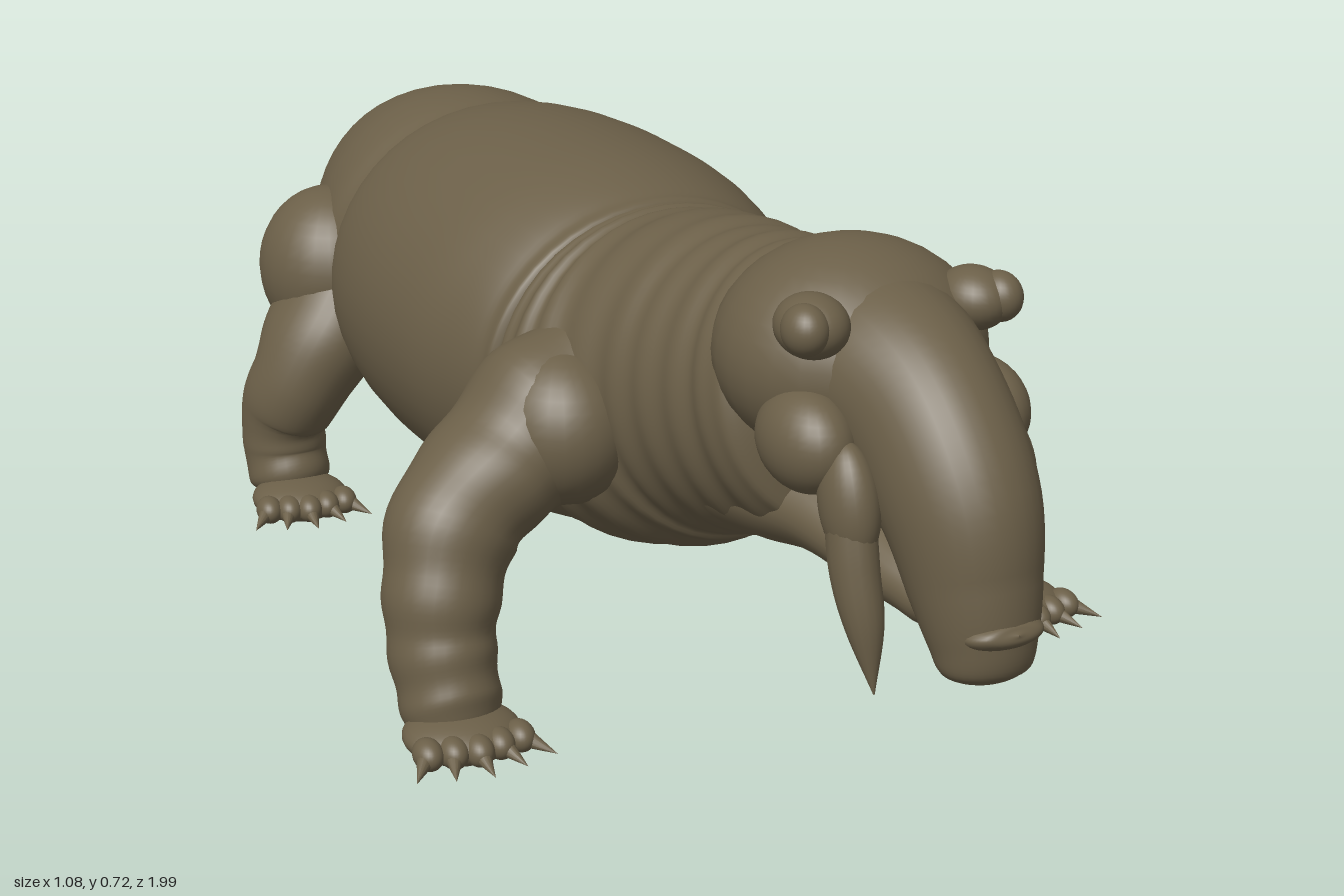
import * as THREE from 'three';

const hide = new THREE.MeshStandardMaterial({ color: 0x6b5f48 });
hide.name = 'brown hide';
const V = (x, y, z) => new THREE.Vector3(x, y, z);

function add(parent, name, geometry) {
  const mesh = new THREE.Mesh(geometry, hide);
  mesh.name = name;
  parent.add(mesh);
  return mesh;
}

// Smooth closed skin over stations [x, y, z, radius along ref, other radius]; ripple adds wrinkles
function skin(stations, ref, { ripple = 0, folds = 0, steps = 8, sides = 32 } = {}) {
  const path = new THREE.CatmullRomCurve3(stations.map(s => V(s[0], s[1], s[2])), false, 'catmullrom', 0.5);
  const size = new THREE.CatmullRomCurve3(stations.map(s => V(s[3], s[4], 0)), false, 'catmullrom', 0.5);
  const rings = (stations.length - 1) * steps;
  const pos = [], index = [];
  for (let i = 0; i <= rings; i++) {
    const t = i / rings, c = path.getPoint(t), r = size.getPoint(t);
    const dir = path.getTangent(t);
    const u = ref.clone().addScaledVector(dir, -ref.dot(dir)).normalize();
    const v = dir.clone().cross(u);
    const k = 1 + ripple * Math.sin(t * folds * Math.PI * 2);
    for (let j = 0; j < sides; j++) {
      const a = j / sides * Math.PI * 2;
      const p = c.clone()
        .addScaledVector(u, Math.cos(a) * Math.max(r.x * k, 0.0005))
        .addScaledVector(v, Math.sin(a) * Math.max(r.y * k, 0.0005));
      pos.push(p.x, p.y, p.z);
      if (i < rings) {
        const n = (j + 1) % sides, A = i * sides;
        index.push(A + j, A + n, A + sides + j, A + n, A + sides + n, A + sides + j);
      }
    }
  }
  const g = new THREE.BufferGeometry();
  g.setAttribute('position', new THREE.Float32BufferAttribute(pos, 3));
  g.setIndex(index);
  g.computeVertexNormals();
  return g;
}

// Skin along the middle plane, stations [z, y, half width, half height]
const middle = (rows, options) => skin(rows.map(([z, y, w, h]) => [0, y, z, w, h]), V(1, 0, 0), options);

function ball(parent, name, x, y, z, rx, ry, rz) {
  const m = add(parent, name, new THREE.SphereGeometry(1, 28, 20));
  m.position.set(x, y, z);
  m.scale.set(rx, ry, rz);
  return m;
}

// Flat paw with five toes and fanned claws
function paw(parent, name, x, z, width, turn) {
  const g = new THREE.Group();
  g.name = name;
  g.position.set(x, 0, z);
  g.rotation.y = turn;
  parent.add(g);
  ball(g, 'pawPad', 0, 0.032, 0, width, 0.032, 0.075);
  for (let i = -2; i <= 2; i++) {
    const a = i * 0.3, tx = i * width * 0.4, tz = 0.06 - Math.abs(i) * 0.008;
    ball(g, 'toe', tx, 0.034, tz, 0.02, 0.021, 0.028);
    const claw = add(g, 'claw', new THREE.ConeGeometry(0.013, 0.05, 12));
    claw.rotation.set(Math.PI / 2 + 0.2, 0, -a, 'YXZ');
    claw.rotation.set(Math.PI / 2 + 0.2, a, 0, 'YXZ');
    claw.position.set(tx + Math.sin(a) * 0.035, 0.028, tz + Math.cos(a) * 0.035);
  }
}

export function createModel() {
  const model = new THREE.Group();
  model.name = 'tuskedBeast';

  // Body: wrinkled neck and chest, barrel trunk, rump and tail
  add(model, 'neckAndChest', middle([
    [0.02, 0.385, 0.001, 0.001], [0.05, 0.385, 0.22, 0.2], [0.12, 0.385, 0.26, 0.236], [0.2, 0.4, 0.25, 0.235],
    [0.3, 0.437, 0.21, 0.222], [0.4, 0.46, 0.188, 0.205], [0.5, 0.485, 0.17, 0.195],
    [0.58, 0.51, 0.15, 0.16], [0.64, 0.52, 0.001, 0.001]], { ripple: 0.012, folds: 13, steps: 12, sides: 48 }));
  add(model, 'trunk', middle([
    [0.13, 0.385, 0.001, 0.001], [0.11, 0.385, 0.24, 0.215], [0.07, 0.385, 0.27, 0.247], [0, 0.385, 0.292, 0.268],
    [-0.1, 0.386, 0.31, 0.279], [-0.25, 0.386, 0.312, 0.281], [-0.38, 0.383, 0.298, 0.272],
    [-0.47, 0.377, 0.27, 0.25], [-0.52, 0.375, 0.22, 0.2], [-0.54, 0.375, 0.001, 0.001]], { sides: 48 }));
  add(model, 'rump', middle([
    [-0.4, 0.38, 0.001, 0.001], [-0.43, 0.38, 0.22, 0.215], [-0.51, 0.385, 0.265, 0.245], [-0.6, 0.39, 0.25, 0.246],
    [-0.7, 0.388, 0.21, 0.217], [-0.77, 0.375, 0.165, 0.165], [-0.815, 0.365, 0.1, 0.1],
    [-0.83, 0.36, 0.001, 0.001]], { sides: 48 }));
  add(model, 'tail', middle([
    [-0.72, 0.4, 0.11, 0.12], [-0.82, 0.375, 0.09, 0.088], [-0.9, 0.332, 0.056, 0.06],
    [-0.965, 0.295, 0.028, 0.027], [-1, 0.277, 0.001, 0.001]]));

  // Head: skull, drooping snout and slim lower jaw
  const head = new THREE.Group();
  head.name = 'head';
  model.add(head);
  ball(head, 'skull', 0, 0.575, 0.61, 0.175, 0.142, 0.17);
  add(head, 'snout', middle([
    [0.55, 0.58, 0.1, 0.11], [0.68, 0.575, 0.12, 0.118], [0.78, 0.54, 0.102, 0.115], [0.86, 0.46, 0.094, 0.108],
    [0.9, 0.37, 0.08, 0.086], [0.922, 0.305, 0.066, 0.066], [0.928, 0.268, 0.052, 0.045],
    [0.93, 0.252, 0.001, 0.001]]));
  add(head, 'nosePad', middle([
    [0.9, 0.335, 0.03, 0.02], [0.95, 0.33, 0.054, 0.022], [0.985, 0.337, 0.04, 0.014], [0.994, 0.34, 0.001, 0.001]]));
  add(head, 'lowerJaw', middle([
    [0.4, 0.365, 0.15, 0.1], [0.52, 0.365, 0.125, 0.085], [0.62, 0.362, 0.095, 0.064], [0.72, 0.345, 0.075, 0.05],
    [0.8, 0.333, 0.06, 0.043], [0.85, 0.322, 0.045, 0.034], [0.87, 0.318, 0.001, 0.001]]));

  // Paired features, built on the left and mirrored
  for (const side of [1, -1]) {
    const half = new THREE.Group();
    half.name = side > 0 ? 'leftSide' : 'rightSide';
    half.scale.x = side;
    model.add(half);

    ball(half, 'brow', 0.115, 0.65, 0.705, 0.045, 0.04, 0.052);
    ball(half, 'eye', 0.138, 0.655, 0.728, 0.028, 0.032, 0.034);
    ball(half, 'cheek', 0.125, 0.51, 0.715, 0.055, 0.065, 0.08);
    ball(half, 'tuskSheath', 0.112, 0.455, 0.795, 0.035, 0.075, 0.045).rotation.x = -0.25;
    add(half, 'tusk', skin([
      [0.112, 0.46, 0.795, 0.03, 0.035], [0.115, 0.38, 0.815, 0.03, 0.035], [0.112, 0.31, 0.838, 0.024, 0.025],
      [0.11, 0.23, 0.86, 0.001, 0.001]], V(1, 0, 0), { sides: 16 }));

    // Sprawling front leg with skin folds
    add(half, 'frontLeg', skin([
      [0.12, 0.4, 0.2, 0.1, 0.12], [0.22, 0.375, 0.205, 0.115, 0.125], [0.31, 0.33, 0.22, 0.108, 0.09],
      [0.385, 0.275, 0.25, 0.092, 0.09], [0.418, 0.2, 0.28, 0.084, 0.08], [0.43, 0.13, 0.3, 0.08, 0.072],
      [0.432, 0.07, 0.325, 0.075, 0.068], [0.432, 0.03, 0.345, 0.06, 0.06], [0.432, 0.012, 0.35, 0.001, 0.001]],
      V(0, 0, 1), { ripple: 0.025, folds: 8 }));
    ball(half, 'shoulder', 0.22, 0.38, 0.23, 0.1, 0.11, 0.12);
    paw(half, 'frontPaw', 0.436, 0.375, 0.08, 0.05);

    // Bent hind leg
    ball(half, 'thigh', 0.225, 0.37, -0.585, 0.115, 0.13, 0.13);
    add(half, 'hindLeg', skin([
      [0.18, 0.38, -0.58, 0.11, 0.11], [0.25, 0.3, -0.54, 0.115, 0.09], [0.305, 0.22, -0.525, 0.092, 0.08],
      [0.33, 0.15, -0.55, 0.078, 0.068], [0.332, 0.09, -0.55, 0.07, 0.064], [0.332, 0.04, -0.53, 0.065, 0.06],
      [0.332, 0.012, -0.52, 0.001, 0.001]], V(0, 0, 1), { ripple: 0.02, folds: 5 }));
    paw(half, 'hindPaw', 0.338, -0.475, 0.075, 0.12);
  }
  return model;
}
